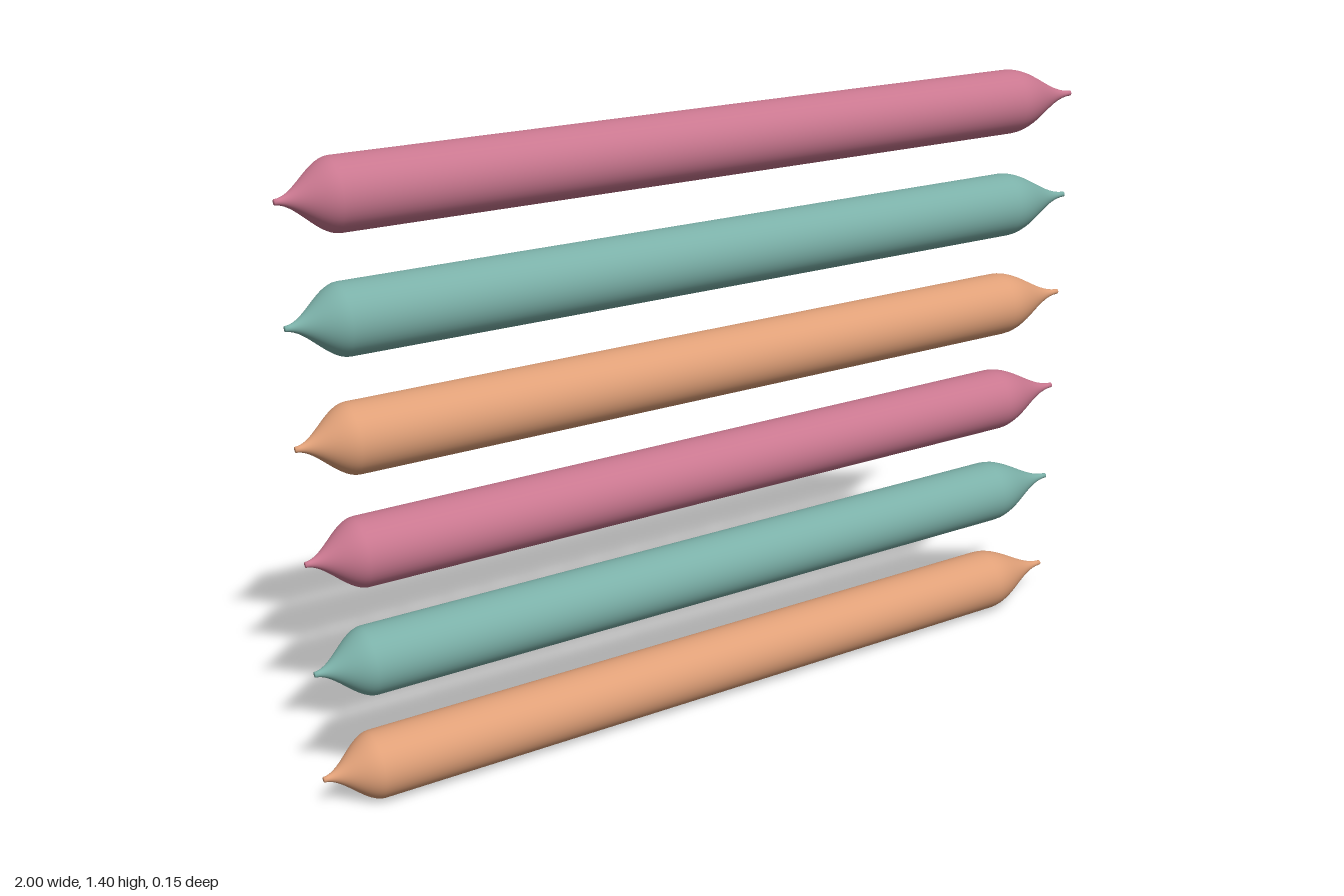
import * as THREE from 'three';

const RADIUS = 0.075;
const TIP = 0.006;
const SPACING = 0.25;

// Half-profile along the axis: short flared tip, straight body, longer flared tip
function spindleProfile() {
  const steps = 14;
  const points = [new THREE.Vector2(0, -1)];
  const flare = (t) => TIP + (RADIUS - TIP) * THREE.MathUtils.smoothstep(t, 0, 1);
  for (let i = 0; i <= steps; i++) {
    const t = i / steps;
    points.push(new THREE.Vector2(flare(t), -1 + 0.12 * t));
  }
  for (let i = 0; i <= steps; i++) {
    const t = i / steps;
    points.push(new THREE.Vector2(flare(1 - t), 0.8 + 0.2 * t));
  }
  points.push(new THREE.Vector2(0, 1));
  return points;
}

export function createModel() {
  const model = new THREE.Group();
  model.name = 'spindleStack';

  const geometry = new THREE.LatheGeometry(spindleProfile(), 48);
  geometry.rotateZ(-Math.PI / 2);

  const colors = [
    ['orange', 0xe0a078],
    ['teal', 0x7bb0a8],
    ['pink', 0xc9778f],
  ];
  const materials = colors.map(([, color]) => new THREE.MeshStandardMaterial({ color }));

  // Six spindles stacked upward, repeating the three colours
  for (let i = 0; i < 6; i++) {
    const c = i % 3;
    const spindle = new THREE.Mesh(geometry, materials[c]);
    spindle.name = `${colors[c][0]}Spindle${i + 1}`;
    spindle.position.y = RADIUS + i * SPACING;
    model.add(spindle);
  }
  return model;
}
